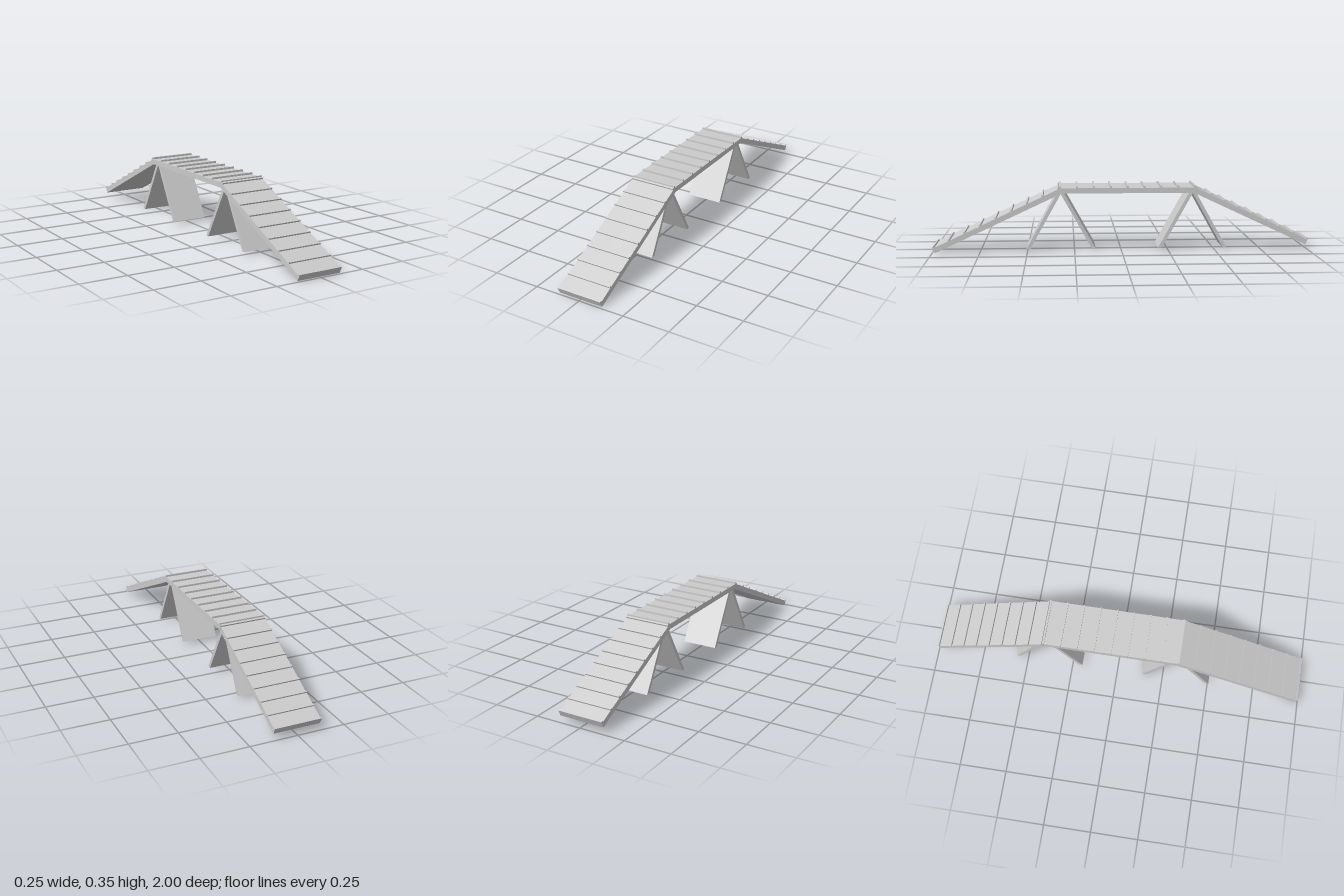
import * as THREE from 'three';

const WIDTH = 0.247, THICK = 0.028, SLAT_W = 0.01;
const material = new THREE.MeshStandardMaterial({ color: 0xcccccc, flatShading: true });

function box(name, w, h, d, y, z) {
  const mesh = new THREE.Mesh(new THREE.BoxGeometry(w, h, d), material);
  mesh.name = name;
  mesh.position.set(0, y, z);
  return mesh;
}

// Plank whose top surface runs from [z, y] point a (back) to b (front), with evenly spaced slats
function plank(name, a, b, slatHeight, slats = 9) {
  const dz = b[0] - a[0], dy = b[1] - a[1], length = Math.hypot(dz, dy);
  const group = new THREE.Group();
  group.name = name;
  group.add(box(name + 'Board', WIDTH, THICK, length, -THICK / 2, 0));
  for (let i = 0; i < slats; i++) {
    const z = (i / (slats - 1) - 0.5) * (length - SLAT_W);
    group.add(box('slat', WIDTH, slatHeight, SLAT_W, slatHeight / 2, z));
  }
  group.position.set(0, (a[1] + b[1]) / 2, (a[0] + b[0]) / 2);
  group.rotation.x = Math.atan2(-dy, dz);
  return group;
}

// Slanted support panel with level-cut ends, running from the apex to a foot on one side
function legPanel(apexZ, side) {
  const top = 0.318, foot = 0.015, spread = 0.173, half = 0.0105, width = 0.195;
  const topZ = apexZ + side * 0.004, footZ = apexZ + side * spread;
  // Shape x becomes -z after the quarter turn below
  const shape = new THREE.Shape([
    new THREE.Vector2(-footZ - half, foot),
    new THREE.Vector2(-footZ + half, foot),
    new THREE.Vector2(-topZ + half, top),
    new THREE.Vector2(-topZ - half, top),
  ]);
  const geometry = new THREE.ExtrudeGeometry(shape, { depth: width, bevelEnabled: false });
  geometry.translate(0, 0, -width / 2);
  geometry.rotateY(Math.PI / 2);
  const mesh = new THREE.Mesh(geometry, material);
  mesh.name = side > 0 ? 'frontLegPanel' : 'backLegPanel';
  return mesh;
}

export function createModel() {
  const model = new THREE.Group();
  model.name = 'slattedRampBridge';

  // Walkway: two ramps and the level centre
  model.add(plank('frontRamp', [0.33, 0.337], [0.997, 0.0255], 0.008));
  model.add(plank('centreDeck', [-0.395, 0.34], [0.33, 0.34], 0.01));
  const backRamp = plank('backRamp', [-0.997, 0.055], [-0.395, 0.337], 0.008);
  backRamp.position.x = -0.002;
  model.add(backRamp);

  // A-frame supports under the two joints
  for (const [name, z] of [['frontSupport', 0.322], ['backSupport', -0.379]]) {
    const support = new THREE.Group();
    support.name = name;
    for (const side of [1, -1]) support.add(legPanel(z, side));
    model.add(support);
  }
  return model;
}
